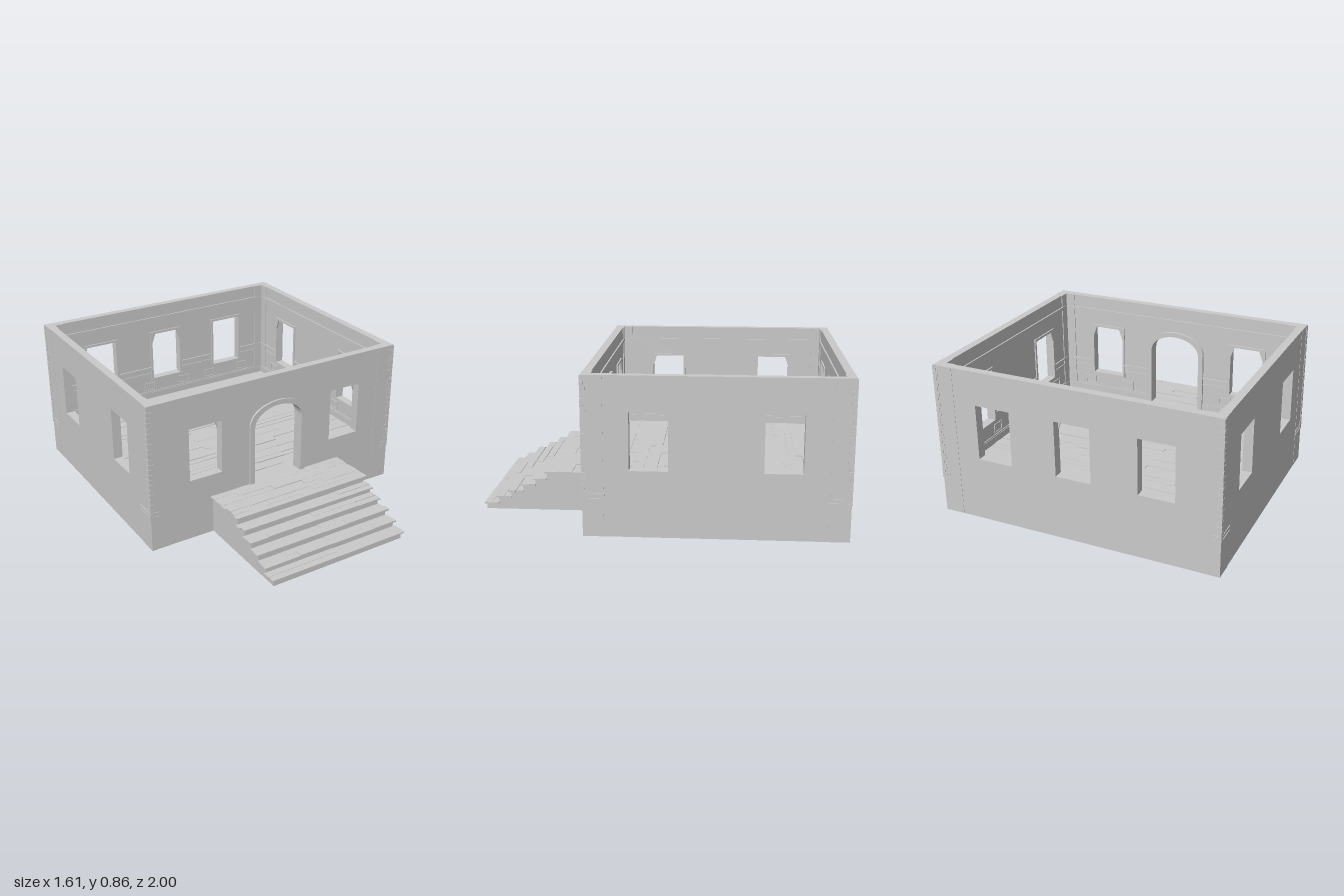
import * as THREE from 'three';

const stone = new THREE.MeshStandardMaterial({ color: 0xcacaca });
stone.name = 'grey stone';

const H = 0.86, T = 0.045, FLOOR = 0.22;
const HX = 0.8, BACK = -0.996, FRONT = 0.383;
const MIDZ = (BACK + FRONT) / 2, HZ = (FRONT - BACK) / 2;
const SILL = 0.36, HEAD = 0.67, WIN = 0.1, CASING = 0.014;

// Small seeded generator for uneven boards
let seed = 7;
const rand = () => (seed = (seed * 16807) % 2147483647) / 2147483647;

function add(parent, name, geometry, x = 0, y = 0, z = 0) {
  const mesh = new THREE.Mesh(geometry, stone);
  mesh.name = name;
  mesh.position.set(x, y, z);
  parent.add(mesh);
}

// Box given by its limits
function block(parent, name, x0, x1, y0, y1, z0, z1) {
  add(parent, name, new THREE.BoxGeometry(x1 - x0, y1 - y0, z1 - z0),
    (x0 + x1) / 2, (y0 + y1) / 2, (z0 + z1) / 2);
}

const polygon = (pts) => pts.map(([x, y]) => new THREE.Vector2(x, y));
const rect = (x0, x1, y0, y1) => polygon([[x0, y0], [x1, y0], [x1, y1], [x0, y1]]);

// Window opening with its left and right top corners clipped by the given amounts
const clipped = (c, left, right) => polygon([[c - WIN, SILL], [c + WIN, SILL],
  [c + WIN, HEAD - 0.001 - right * 2.8], [c + WIN - 0.001 - right, HEAD],
  [c - WIN + 0.001 + left, HEAD], [c - WIN, HEAD - 0.001 - left * 2.8]]);

// Doorway outline with a flattened arch, from bottom right over to bottom left
function archway(w, spring, top) {
  const pts = [[w, FLOOR]];
  for (let i = 0; i <= 24; i++) {
    const a = (i / 24) * Math.PI;
    pts.push([w * Math.cos(a), spring + (top - spring) * Math.sin(a)]);
  }
  pts.push([-w, FLOOR]);
  return polygon(pts);
}
const doorway = archway(0.155, 0.575, 0.68);
const doorBand = [...archway(0.185, 0.59, 0.708), ...[...doorway].reverse()];

function plate(parent, name, outline, holes, z0, z1) {
  const shape = new THREE.Shape(outline);
  shape.holes = holes.map((h) => new THREE.Path(h));
  add(parent, name,
    new THREE.ExtrudeGeometry(shape, { depth: z1 - z0, bevelEnabled: false }), 0, 0, z0);
}

// One wall; its outer face lies at local z = 0 and looks along +z.
// windows: [centre, left clip, right clip]; end: half length of the inner face
function makeWall(name, half, end, windows, door) {
  const g = new THREE.Group();
  g.name = name;
  const holes = windows.map(([c]) => rect(c - WIN, c + WIN, SILL, HEAD));
  if (door) holes.push(doorway);
  plate(g, 'wallPanel', rect(-half, half, 0, H), holes, -T, 0);

  const inner = -T;
  for (const [c, left, right] of windows) {
    // Inner window casing
    plate(g, 'windowCasing',
      rect(c - WIN - CASING, c + WIN + CASING, SILL - CASING, HEAD + CASING),
      [clipped(c, left, right)], inner - 0.008, inner);
    // Raised square panels beside the window axis
    for (const s of [-1, 1]) {
      const p = c + s * 0.13;
      plate(g, 'wainscotPanel', rect(p - 0.04, p + 0.04, 0.275, 0.33),
        [rect(p - 0.032, p + 0.032, 0.283, 0.322)], inner - 0.005, inner);
    }
  }

  // Rails broken by the openings
  const doorGap = door ? [[-0.185, 0.185]] : [];
  const gaps = [...windows.map(([c]) => [c - WIN - CASING, c + WIN + CASING]), ...doorGap]
    .sort((a, b) => a[0] - b[0]);
  const rail = (label, y0, y1, depth, cuts) => {
    let x = -end;
    for (const [a, b] of [...cuts, [end, end]]) {
      if (a > x) block(g, label, x, a, y0, y1, inner - depth, inner);
      x = b;
    }
  };
  rail('chairRail', 0.425, 0.44, 0.008, gaps);
  rail('chairRailLower', 0.39, 0.4, 0.005, gaps);
  rail('skirting', FLOOR, 0.26, 0.008, doorGap);
  rail('skirtingCap', 0.26, 0.268, 0.005, doorGap);
  rail('cornice', 0.765, 0.785, 0.008, []);

  // Corner pilasters inside the room
  block(g, 'innerPilaster', -end, -end + 0.06, FLOOR, H, inner - 0.005, inner);
  block(g, 'innerPilaster', end - 0.06, end, FLOOR, H, inner - 0.005, inner);

  // Arched band around the doorway, outside and inside
  if (door) {
    plate(g, 'doorSurround', doorBand, [], -0.005, 0.011);
    plate(g, 'doorSurroundInner', doorBand, [], inner - 0.015, inner + 0.005);
  }
  return g;
}

// Rows of boards running along x, with uneven joints and levels
function boards(parent, x0, x1, z0, z1, rows, y, ragged, uneven) {
  const step = (z1 - z0) / rows;
  for (let r = 0; r < rows; r++) {
    const cuts = [x0 - rand() * ragged, x0 + (x1 - x0) * (0.12 + 0.3 * rand()), (x0 + x1) / 2,
      x0 + (x1 - x0) * (0.58 + 0.3 * rand()), x1 + rand() * ragged];
    for (let i = 0; i < 4; i++) {
      block(parent, 'board', cuts[i], cuts[i + 1], y - 0.012, y - rand() * uneven,
        z0 + r * step, z0 + (r + 1) * step);
    }
  }
}

// Corner strips, toothed stones and string-course stubs on an outer corner
function makeCorner(sx, sz) {
  const g = new THREE.Group();
  g.name = 'cornerStones';
  const z = sz > 0 ? FRONT : BACK;
  const span = (c, s, len, out) =>
    s > 0 ? [c - len, c + out] : [c - out, c + len];
  // L-shaped course: one leg along x, one along z
  const course = (label, lenX, lenZ, y0, y1, out) => {
    block(g, label, ...span(sx * HX, sx, lenX, out), y0, y1, ...span(z, sz, 0.01, out));
    block(g, label, ...span(sx * HX, sx, 0.01, out), y0, y1, ...span(z, sz, lenZ, out));
  };
  course('cornerStrip', 0.11, 0.11, 0, H, 0.0015);
  const rows = 22, dy = (H - 0.2) / rows;
  for (let i = 0; i < rows; i++) {
    const long = i % 2 ? 0.014 : 0.026;
    course('quoin', long, 0.04 - long, 0.2 + i * dy, 0.2 + (i + 1) * dy - 0.003, 0.004);
  }
  course('stringCourse', 0.045, 0.115, 0.2, 0.21, 0.005);
  course('stringCourse', 0.045, 0.115, 0.225, 0.235, 0.005);
  return g;
}

function makeStairs() {
  const g = new THREE.Group();
  g.name = 'frontSteps';
  const tops = [0.045, 0.08, 0.115, 0.153, 0.188, 0.23];
  const noses = [1, 0.93, 0.86, 0.79, 0.72, 0.655];
  // Solid stepped body, extruded across the width
  const profile = [[-FRONT, 0], [-noses[0] + 0.01, 0]];
  tops.forEach((y, i) => {
    profile.push([-noses[i] + 0.01, y - 0.01]);
    profile.push([i < 5 ? -noses[i + 1] + 0.01 : -FRONT, y - 0.01]);
  });
  const geo = new THREE.ExtrudeGeometry(new THREE.Shape(polygon(profile)),
    { depth: 0.84, bevelEnabled: false });
  geo.rotateY(Math.PI / 2);
  add(g, 'stepBody', geo, -0.42);
  // Board treads with a small overhang
  tops.forEach((y, i) => {
    const back = i < 5 ? noses[i + 1] - 0.01 : FRONT;
    boards(g, -0.425, 0.425, back, noses[i], i < 5 ? 2 : 7, y, 0.012, 0.006);
  });
  return g;
}

export function createModel() {
  const model = new THREE.Group();
  model.name = 'roofless room with front steps';

  const fx = HX - T, clip = 0.022;
  const front = makeWall('frontWall', HX, fx, [[-0.46, clip, clip], [0.46, clip, clip]], true);
  front.position.z = FRONT;
  const back = makeWall('backWall', HX, fx, [[-0.46, 0, 0], [0, clip, clip], [0.46, 0, 0]], false);
  back.rotation.y = Math.PI;
  back.position.z = BACK;
  model.add(front, back);
  for (const s of [-1, 1]) {
    // Side windows, clipped only on the corner nearest the wall's end
    const windows = [0.04, -0.65].map((z) => {
      const c = -s * (z - MIDZ);
      return c < 0 ? [c, clip, 0] : [c, 0, clip];
    }).sort((a, b) => a[0] - b[0]);
    const side = makeWall(s > 0 ? 'leftWall' : 'rightWall', HZ - T, HZ - T, windows, false);
    side.rotation.y = s * Math.PI / 2;
    side.position.set(s * HX, 0, MIDZ);
    model.add(side, makeCorner(s, 1), makeCorner(s, -1));
  }

  // Floor: four slabs below, boards on top
  const floor = new THREE.Group();
  floor.name = 'floor';
  const z0 = BACK + T, z1 = FRONT - T;
  for (const [xa, xb] of [[-fx, -0.001], [0.001, fx]]) {
    for (const [za, zb] of [[z0, MIDZ - 0.001], [MIDZ + 0.001, z1]]) {
      block(floor, 'floorSlab', xa, xb, 0.19, 0.212, za, zb);
    }
  }
  boards(floor, -fx, fx, z0, z1, 34, FLOOR + 0.003, 0, 0.008);
  block(floor, 'threshold', -0.155, 0.155, 0.21, FLOOR + 0.003, z1 - 0.01, FRONT + 0.01);
  model.add(floor, makeStairs());
  return model;
}
